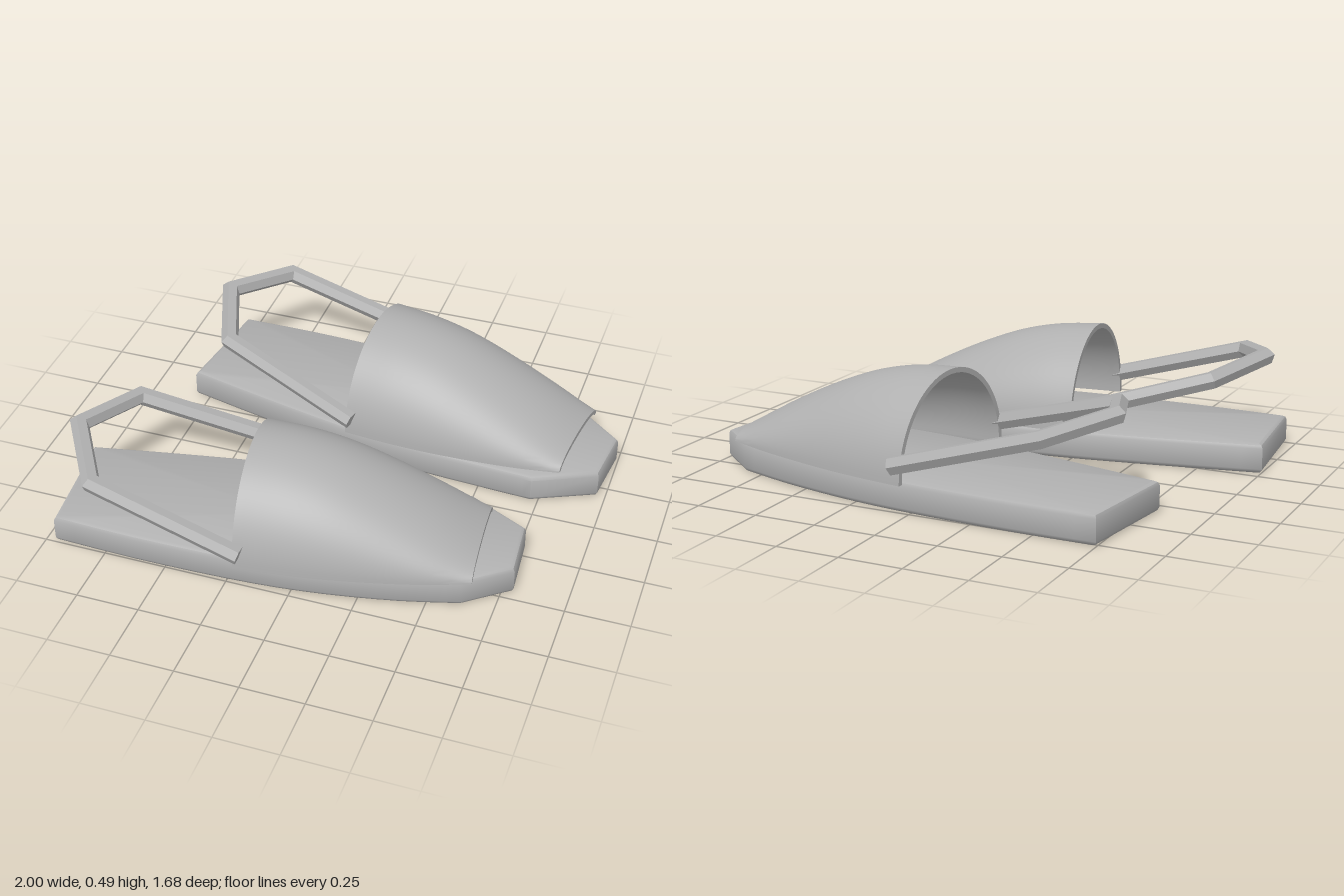
import * as THREE from 'three';
import { toCreasedNormals } from 'three/addons/utils/BufferGeometryUtils.js';

const V = (x, y, z) => new THREE.Vector3(x, y, z);

// Skin a series of closed rings with equal point counts; collapsed rings act as caps
function loft(rings, crease) {
  const pos = [];
  const tri = (a, b, c) => {
    const area = V().subVectors(b, a).cross(V().subVectors(c, a)).length();
    if (area > 1e-9) for (const p of [a, b, c]) pos.push(p.x, p.y, p.z);
  };
  for (let k = 0; k + 1 < rings.length; k++) {
    const a = rings[k], b = rings[k + 1], n = a.length;
    for (let i = 0; i < n; i++) {
      const j = (i + 1) % n;
      tri(a[i], a[j], b[j]);
      tri(a[i], b[j], b[i]);
    }
  }
  const geo = new THREE.BufferGeometry();
  geo.setAttribute('position', new THREE.Float32BufferAttribute(pos, 3));
  return toCreasedNormals(geo, crease);
}

// Sole: rounded slab with a hollow underside; side = 1 or -1 mirrors the foot shape
function soleGeometry(side) {
  const curve = pts => new THREE.SplineCurve(pts.map(p => new THREE.Vector2(...p))).getPoints(16);
  let outline = [
    ...curve([[-0.752, 0.225], [-0.4, 0.265], [0, 0.29], [0.3, 0.287], [0.6, 0.257], [0.84, 0.212]]),
    new THREE.Vector2(1.02, 0.095), new THREE.Vector2(1.022, -0.15),
    ...curve([[0.79, -0.293], [0.62, -0.304], [0.3, -0.32], [0, -0.314], [-0.4, -0.277], [-0.757, -0.235]]),
  ];
  if (side < 0) outline = outline.map(p => new THREE.Vector2(p.x, -p.y)).reverse();
  const n = outline.length;
  const normal = (a, b) => new THREE.Vector2(a.y - b.y, b.x - a.x).normalize();
  const miter = outline.map((p, i) => {
    const n1 = normal(outline[(i + n - 1) % n], p), n2 = normal(p, outline[(i + 1) % n]);
    return n1.clone().add(n2).divideScalar(1 + n1.dot(n2));
  });
  const ring = (inset, y) => outline.map((p, i) => V(p.x - miter[i].x * inset, y, p.y - miter[i].y * inset));
  const centre = y => outline.map(() => V(0.1, y, 0));
  const profile = [[0.022, 0.1], [0.022, 0.008], [0.016, 0], [0.006, 0.006], [0, 0.018],
    [0, 0.102], [0.006, 0.114], [0.018, 0.12]];
  return loft([centre(0.1), ...profile.map(([d, y]) => ring(d, y)), centre(0.12)], 0.6);
}

// Upper: arched shell that lowers and narrows toward the toe, open at both ends
function upperGeometry() {
  const base = 0.122, thick = 0.02, arcs = 40;
  // x = position along the foot, y = height, z = half width
  const stations = new THREE.CatmullRomCurve3([
    V(0, 0.365, 0.345), V(0.17, 0.352, 0.34), V(0.33, 0.318, 0.328),
    V(0.5, 0.255, 0.305), V(0.7, 0.16, 0.268), V(0.88, 0.06, 0.22),
  ]).getPoints(24);
  const back = [...stations].reverse();
  const rings = [];
  for (let k = 0; k <= arcs; k++) {
    const a = Math.PI * k / arcs, c = Math.cos(a), s = Math.sin(a);
    const at = t => p => V(p.x, base + (p.y - t) * s, (p.z - t) * c);
    rings.push([...stations.map(at(0)), ...back.map(at(thick))]);
  }
  const closeEnd = c => [...stations, ...back].map(p => V(p.x, base, (p.z - thick / 2) * c));
  return loft([closeEnd(1), ...rings, closeEnd(-1)], 0.6);
}

// Heel strap: six-sided bar with mitred bends, rising toward the back
function strapGeometry() {
  const radius = 0.036;
  const path = [[0.03, 0.352], [-0.555, 0.282], [-0.7, 0], [-0.555, -0.282], [0.03, -0.352]]
    .map(([u, v]) => V(u, 0.205 - 0.3 * u, v));
  const up = V(0.3, 1, 0).normalize();
  const sideOf = (a, b) => V().subVectors(b, a).normalize().cross(up);
  const last = path.length - 1;
  const rings = path.map((p, k) => {
    const s1 = sideOf(path[Math.max(k - 1, 0)], path[Math.max(k, 1)]);
    const s2 = sideOf(path[Math.min(k, last - 1)], path[Math.min(k + 1, last)]);
    const side = s1.clone().add(s2).divideScalar(1 + s1.dot(s2));
    return Array.from({ length: 6 }, (_, i) => {
      const a = -i * Math.PI / 3;
      return p.clone().addScaledVector(side, radius * Math.cos(a)).addScaledVector(up, radius * Math.sin(a));
    });
  });
  const cap = p => Array.from({ length: 6 }, () => p.clone());
  return loft([cap(path[0]), ...rings, cap(path[last])], 0.3);
}

export function createModel() {
  const grey = new THREE.MeshStandardMaterial({ color: 0xb0b0b0 });
  grey.name = 'plainGrey';

  const model = new THREE.Group();
  model.name = 'pairOfSlingbackClogs';
  const upper = upperGeometry(), strap = strapGeometry();

  // Each shoe: name, mirror side, position and outward turn
  for (const [name, side, x, z, turn] of [
    ['nearShoe', 1, -0.23, 0.455, 0.087],
    ['farShoe', -1, -0.03, -0.46, -0.117],
  ]) {
    const shoe = new THREE.Group();
    shoe.name = name;
    const parts = { sole: soleGeometry(side), upper, heelStrap: strap };
    for (const [part, geo] of Object.entries(parts)) {
      const mesh = new THREE.Mesh(geo, grey);
      mesh.name = part;
      shoe.add(mesh);
    }
    shoe.position.set(x, 0, z);
    shoe.rotation.y = turn;
    model.add(shoe);
  }
  return model;
}
